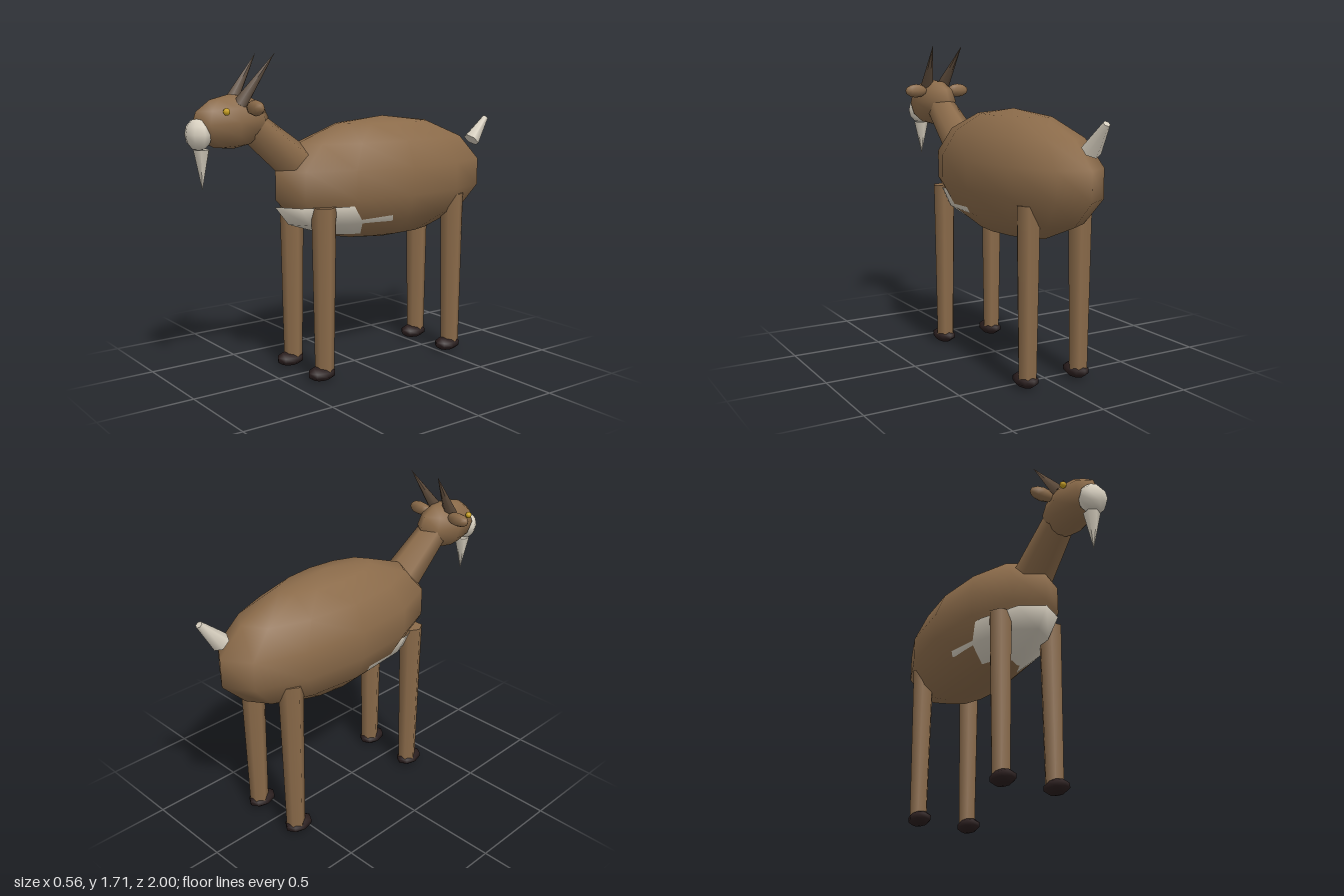
import * as THREE from 'three';

const material = (name, color) => {
  const m = new THREE.MeshStandardMaterial({ color });
  m.name = name;
  return m;
};

export function createModel() {
  const group = new THREE.Group();
  const coat = material('brown coat', 0x8b6b4a);
  const cream = material('cream fur', 0xd8d0c0);
  const horn = material('horn', 0x5c4a3a);
  const hoof = material('dark hoof', 0x2a1e1e);
  const gold = material('gold eye', 0xc8a020);

  const add = (name, geometry, mat) => {
    const mesh = new THREE.Mesh(geometry, mat);
    mesh.name = name;
    group.add(mesh);
    return mesh;
  };

  // Low-poly ellipsoid with its poles on y
  const ellipsoid = (name, mat, position, radii, around, rings) => {
    const mesh = add(name, new THREE.SphereGeometry(1, around, rings), mat);
    mesh.position.set(...position);
    mesh.scale.set(...radii);
    return mesh;
  };

  // Six-sided tapered limb from point a (radius ra) to point b (radius rb)
  const limb = (name, mat, a, b, ra, rb, spin = 0) => {
    const start = new THREE.Vector3(...a);
    const end = new THREE.Vector3(...b);
    const axis = end.clone().sub(start);
    const geometry = new THREE.CylinderGeometry(rb, ra, axis.length(), 6);
    geometry.rotateY(spin);
    const mesh = add(name, geometry, mat);
    mesh.position.copy(start).add(end).multiplyScalar(0.5);
    mesh.quaternion.setFromUnitVectors(new THREE.Vector3(0, 1, 0), axis.normalize());
    return mesh;
  };

  // Body and the pale chest patch just breaking its surface
  ellipsoid('body', coat, [0, 1.04, -0.19], [0.287, 0.34, 0.713], 12, 7);
  const chest = add('chestPatch',
    new THREE.SphereGeometry(1, 12, 3, 0, Math.PI * 2, Math.PI / 2, Math.PI / 2), cream);
  chest.position.set(0, 0.93, -0.09);
  chest.scale.set(0.25, 0.2, 0.6);

  // Neck and tail
  limb('neck', coat, [0, 1.07, 0.28], [0, 1.35, 0.635], 0.115, 0.085);
  limb('tail', cream, [0, 1.21, -0.872], [0, 1.342, -0.985], 0.05, 0.018);

  // Head, muzzle and beard
  ellipsoid('head', coat, [0, 1.38, 0.755], [0.11, 0.135, 0.215], 8, 6).rotation.x = 0.07;
  ellipsoid('muzzle', cream, [0, 1.325, 0.935], [0.078, 0.08, 0.065], 8, 6);
  limb('beard', cream, [0, 1.25, 0.92], [0, 1.05, 0.92], 0.043, 0);

  // Paired parts
  for (const [side, s] of [['left', 1], ['right', -1]]) {
    ellipsoid(side + 'Eye', gold, [s * 0.105, 1.434, 0.834], [0.018, 0.018, 0.018], 8, 6);
    const ear = ellipsoid(side + 'Ear', coat, [s * 0.14, 1.45, 0.695], [0.04, 0.07, 0.032], 8, 6);
    ear.rotation.z = Math.PI / 2;
    limb(side + 'Horn', horn, [s * 0.05, 1.46, 0.735], [s * 0.095, 1.715, 0.556], 0.04, 0);

    for (const [end, z] of [['Front', 0.31], ['Hind', -0.58]]) {
      limb(side + end + 'Leg', coat, [s * 0.155, 0.04, z], [s * 0.155, 0.93, z], 0.051, 0.065, Math.PI / 2);
      ellipsoid(side + end + 'Hoof', hoof, [s * 0.155, 0.042, z + 0.018], [0.06, 0.04, 0.085], 8, 5);
    }
  }

  return group;
}
